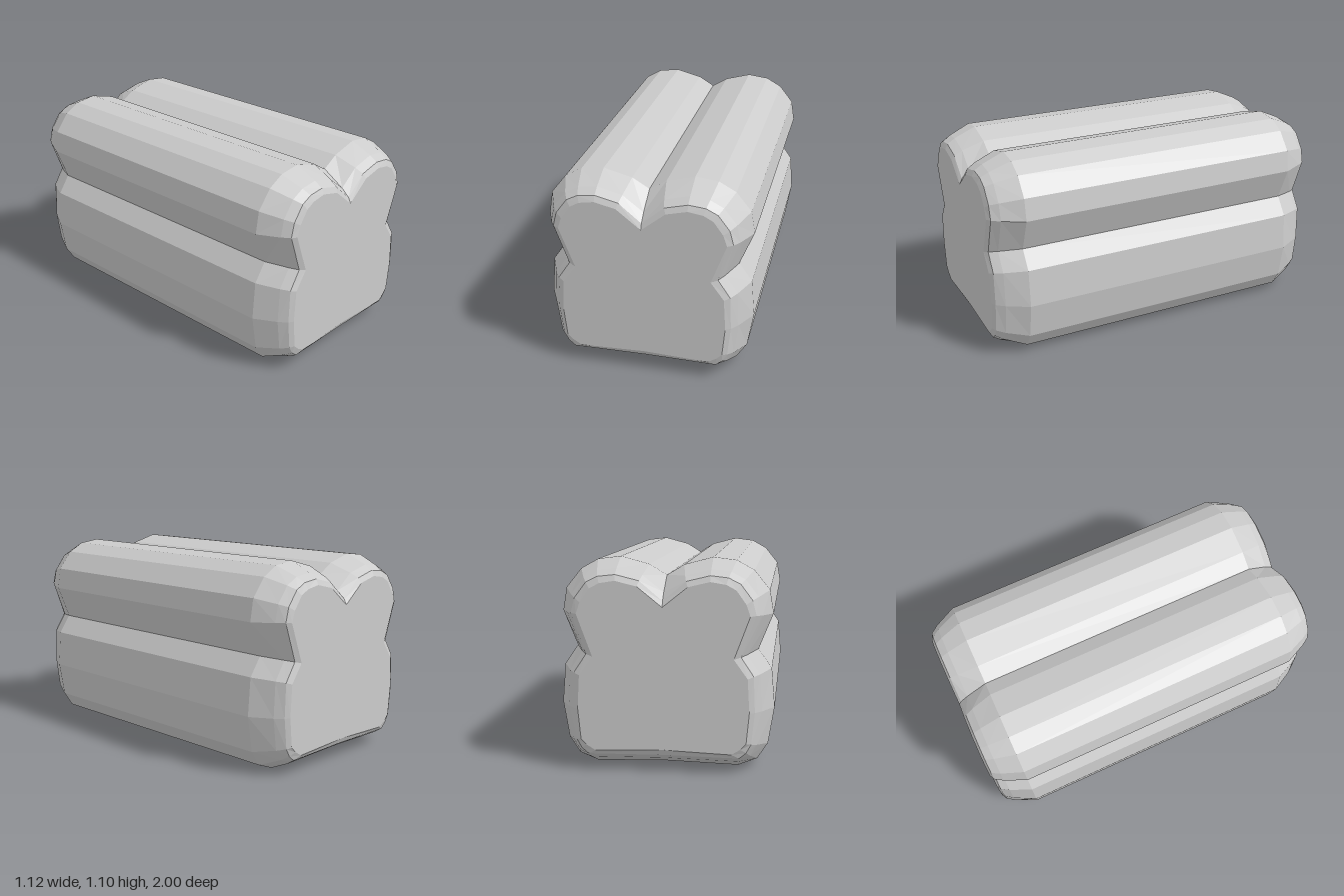
import * as THREE from 'three';

// Half outlines (x, y) from bottom centre, up the left side, to the top cleft
const BODY = [[0, 0.015], [0.375, 0.005], [0.475, 0.045], [0.53, 0.13], [0.562, 0.325], [0.545, 0.53], [0.475, 0.63],
  [0.55, 0.815], [0.53, 0.935], [0.45, 1.035], [0.36, 1.085], [0.24, 1.1], [0.09, 1.06], [0, 1.005]];
const BEVEL = [[0, 0.095], [0.39, 0.09], [0.425, 0.12], [0.45, 0.165], [0.467, 0.33], [0.46, 0.515], [0.395, 0.613],
  [0.47, 0.823], [0.45, 0.9], [0.39, 0.98], [0.33, 1.01], [0.24, 1.02], [0.118, 0.99], [0, 0.89]];
const CAP = [[0, 0.125], [0.35, 0.112], [0.395, 0.14], [0.425, 0.17], [0.44, 0.33], [0.43, 0.505], [0.36, 0.603],
  [0.44, 0.82], [0.42, 0.88], [0.37, 0.95], [0.32, 0.977], [0.24, 0.99], [0.128, 0.963], [0, 0.86]];

// Mirror a half outline into a closed counter-clockwise loop
const mirror = (half) => [...half, ...half.slice(1, -1).reverse().map(([x, y]) => [-x, y])];

const blend = (a, b, t) => a.map(([x, y], i) => [x + (b[i][0] - x) * t, y + (b[i][1] - y) * t]);

function loafGeometry() {
  const end = [[CAP, 1], [BEVEL, 0.985], [blend(BODY, BEVEL, 0.65), 0.94], [BODY, 0.82]];
  const sections = [...end, ...end.slice().reverse().map(([s, z]) => [s, -z])];
  const rings = sections.map(([half, z]) => mirror(half).map(([x, y]) => [x, y, z]));
  const n = rings[0].length;
  const index = [];

  // Skin between neighbouring sections, running front to back
  for (let r = 0; r < rings.length - 1; r++) {
    for (let i = 0; i < n; i++) {
      const j = (i + 1) % n;
      const a = r * n + i, b = r * n + j, c = a + n, d = b + n;
      // Mirror the diagonals so both sides fold alike
      if (i < n / 2) index.push(a, c, b, b, c, d);
      else index.push(a, c, d, a, d, b);
    }
  }

  // Flat end faces
  const outline = mirror(CAP).map(([x, y]) => new THREE.Vector2(x, y));
  const last = (rings.length - 1) * n;
  for (const [a, b, c] of THREE.ShapeUtils.triangulateShape(outline, [])) {
    index.push(a, b, c, last + a, last + c, last + b);
  }

  const indexed = new THREE.BufferGeometry();
  indexed.setAttribute('position', new THREE.Float32BufferAttribute(rings.flat(2), 3));
  indexed.setIndex(index);
  const geometry = indexed.toNonIndexed();
  geometry.computeVertexNormals();
  return geometry;
}

export function createModel() {
  const group = new THREE.Group();
  group.name = 'breadLoaf';
  const material = new THREE.MeshStandardMaterial({ color: 0xcccccc, flatShading: true });
  const loaf = new THREE.Mesh(loafGeometry(), material);
  loaf.name = 'loaf';
  loaf.position.y = -0.005; // rest the lowest edge on the ground
  group.add(loaf);
  return group;
}
